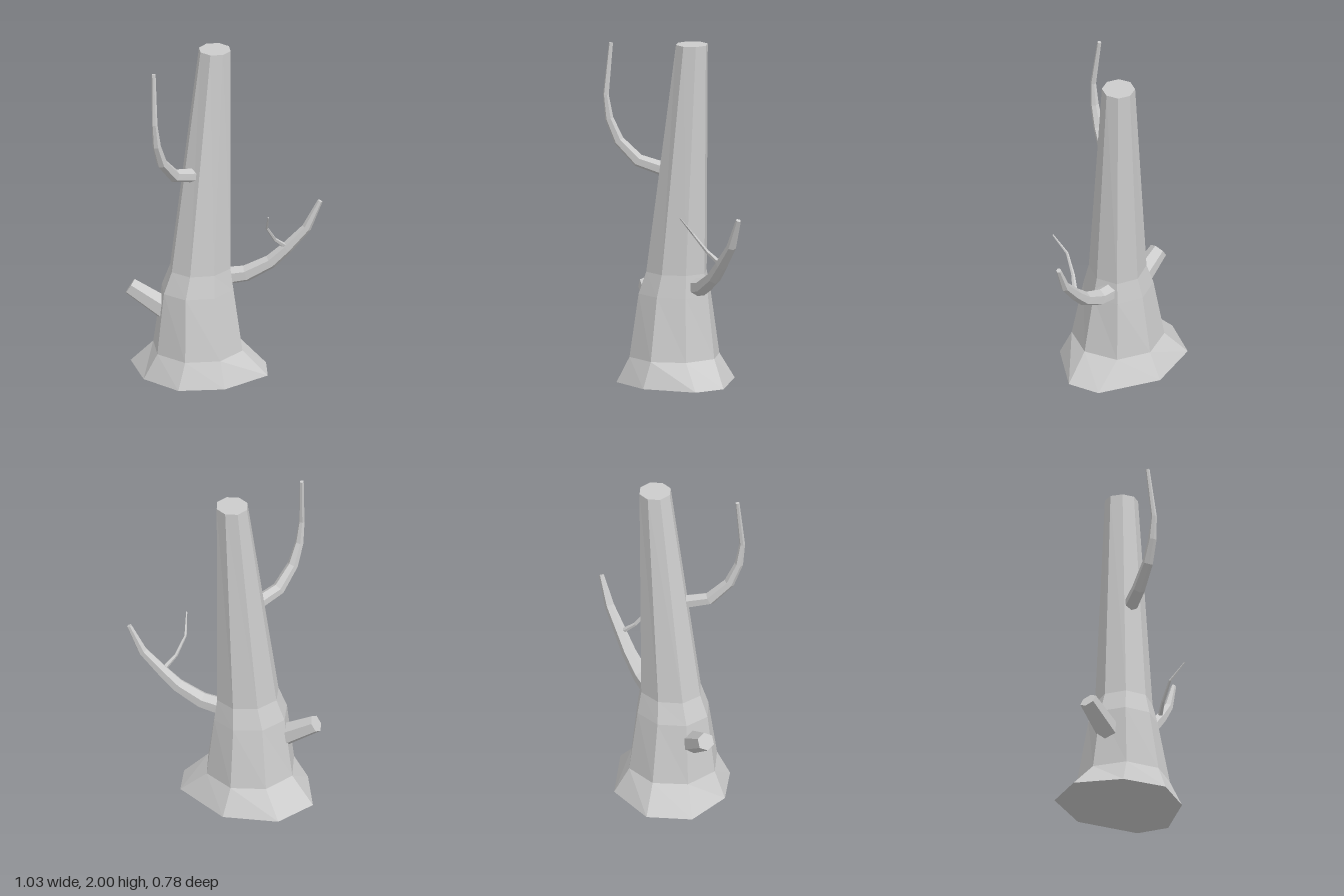
import * as THREE from 'three';

const V = (x, y, z) => new THREE.Vector3(x, y, z);

// Closed, faceted skin over a stack of rings; each ring turns anticlockwise about the direction of travel.
function loft(name, rings, material) {
  const n = rings[0].length, pos = [];
  const tri = (...pts) => pts.forEach(p => pos.push(p.x, p.y, p.z));
  const middle = ring => ring.reduce((s, p) => s.add(p), V(0, 0, 0)).divideScalar(n);
  for (let i = 0; i < rings.length - 1; i++) {
    for (let j = 0; j < n; j++) {
      const k = (j + 1) % n, lo = rings[i], hi = rings[i + 1];
      tri(lo[j], lo[k], hi[j]);
      tri(lo[k], hi[k], hi[j]);
    }
  }
  const first = rings[0], last = rings[rings.length - 1];
  const c0 = middle(first), c1 = middle(last);
  for (let j = 0; j < n; j++) {
    const k = (j + 1) % n;
    tri(c0, first[k], first[j]);
    tri(c1, last[j], last[k]);
  }
  const geo = new THREE.BufferGeometry();
  geo.setAttribute('position', new THREE.Float32BufferAttribute(pos, 3));
  geo.computeVertexNormals();
  const mesh = new THREE.Mesh(geo, material);
  mesh.name = name;
  return mesh;
}

// Tapering limb along a bent path; each stop is [x, y, z, radius].
function limb(name, stops, sides, material) {
  const pts = stops.map(s => V(s[0], s[1], s[2]));
  const u = V(0, 1, 0);
  const rings = pts.map((p, i) => {
    const dir = V(0, 0, 0);
    if (i > 0) dir.add(p.clone().sub(pts[i - 1]).normalize());
    if (i < pts.length - 1) dir.add(pts[i + 1].clone().sub(p).normalize());
    dir.normalize();
    // carry the previous frame along so the limb does not twist
    u.addScaledVector(dir, -u.dot(dir)).normalize();
    const v = dir.clone().cross(u);
    return Array.from({ length: sides }, (_, j) => {
      const a = j / sides * Math.PI * 2, r = stops[i][3];
      return p.clone().addScaledVector(u, Math.cos(a) * r).addScaledVector(v, Math.sin(a) * r);
    });
  });
  return loft(name, rings, material);
}

export function createModel() {
  const model = new THREE.Group();
  model.name = 'bareTree';
  const bark = new THREE.MeshStandardMaterial({ color: 0xcccccc, flatShading: true });

  // Trunk: irregular root flare, then leaning octagons [y, centre x, centre z, radius x, radius z]
  const flare = [
    [-0.14, 0.35], [0.18, 0.29], [0.265, 0.116], [0.13, -0.24],
    [-0.157, -0.395], [-0.406, -0.30], [-0.478, -0.014], [-0.387, 0.238],
  ].map(([x, z]) => V(x, 0, z));
  const octagons = [
    [0.15, -0.13, 0.01, 0.27, 0.27],
    [0.52, -0.13, 0.007, 0.225, 0.203],
    [0.65, -0.115, 0.012, 0.19, 0.168],
    [2, -0.015, 0.005, 0.095, 0.097],
  ].map(([y, cx, cz, rx, rz]) => Array.from({ length: 8 }, (_, j) => {
    const a = j * Math.PI / 4;
    return V(cx + Math.sin(a) * rx, y, cz + Math.cos(a) * rz);
  }));
  model.add(loft('trunk', [flare, ...octagons], bark));

  // Lower branch on the left, with a thin twig
  model.add(limb('lowerBranch', [
    [0.04, 0.575, 0.055, 0.054], [0.13, 0.595, 0.12, 0.05], [0.25, 0.675, 0.2, 0.042],
    [0.33, 0.765, 0.25, 0.036], [0.43, 0.89, 0.305, 0.028], [0.5, 1.06, 0.342, 0.015],
  ], 6, bark));
  model.add(limb('twig', [
    [0.325, 0.77, 0.25, 0.016], [0.24, 0.84, 0.265, 0.011],
    [0.168, 0.94, 0.3, 0.008], [0.13, 1.045, 0.385, 0.004],
  ], 5, bark));

  // Upper branch on the right, curling upward
  model.add(limb('upperBranch', [
    [-0.16, 1.245, 0.04, 0.043], [-0.33, 1.295, 0.085, 0.039], [-0.435, 1.41, 0.13, 0.032],
    [-0.485, 1.54, 0.155, 0.025], [-0.503, 1.68, 0.163, 0.017], [-0.49, 1.985, 0.127, 0.012],
  ], 6, bark));

  // Sawn stub at the back right
  model.add(limb('stub', [
    [-0.25, 0.35, -0.05, 0.075], [-0.455, 0.51, -0.218, 0.053],
  ], 6, bark));

  return model;
}
